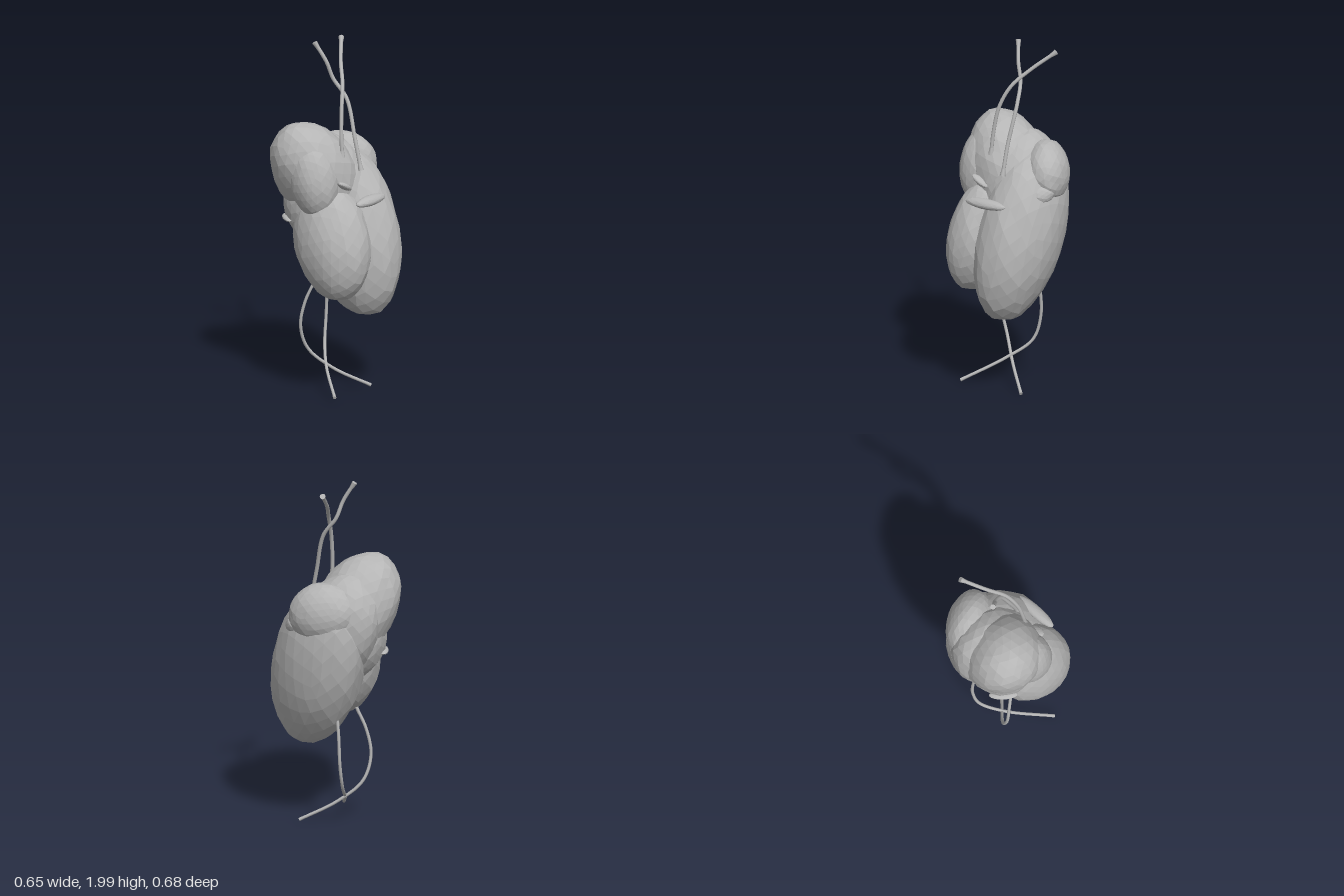
import * as THREE from 'three';

const tissue = new THREE.MeshStandardMaterial({ color: 0xb5b5b5, flatShading: true });
tissue.name = 'pale grey';
const cord = new THREE.MeshStandardMaterial({ color: 0xb5b5b5 });
cord.name = 'cord grey';

export function createModel() {
  const group = new THREE.Group();

  // Faceted egg-like lobe with gently uneven surface
  function lobe(name, center, radii, rotation = [0, 0, 0], detail = 4) {
    const geo = new THREE.IcosahedronGeometry(1, detail);
    const p = geo.attributes.position;
    const v = new THREE.Vector3();
    for (let i = 0; i < p.count; i++) {
      v.fromBufferAttribute(p, i);
      const bump = 1 + 0.012 * Math.sin(v.x * 7 + v.y * 5) * Math.cos(v.z * 6 - v.y * 4)
        + 0.008 * Math.sin(v.x * 19 + v.z * 23 + v.y * 17);
      v.multiplyScalar(bump);
      p.setXYZ(i, v.x * radii[0], v.y * radii[1], v.z * radii[2]);
    }
    geo.computeVertexNormals();
    const mesh = new THREE.Mesh(geo, tissue);
    mesh.name = name;
    mesh.position.set(...center);
    mesh.rotation.set(...rotation);
    group.add(mesh);
  }

  // Lower chambers, leaning back towards the top
  lobe('leftVentricle', [0.092, 0.925, 0.027], [0.224, 0.507, 0.283], [-0.36, 0, -0.08]);
  lobe('rightVentricle', [-0.133, 0.9, 0.058], [0.182, 0.34, 0.228], [-0.35, 0, -0.13]);

  // Upper chambers and the walls joining them
  lobe('rightAtrium', [-0.07, 1.25, -0.1], [0.215, 0.33, 0.23], [-0.28, 0, 0.48]);
  lobe('rightAtriumSide', [-0.19, 1.25, -0.025], [0.13, 0.22, 0.14], [-0.2, 0, 0]);
  lobe('leftAtrium', [0.183, 1.268, -0.1], [0.125, 0.172, 0.195], [0.25, 0.5, 0]);
  lobe('atrialAppendage', [0.213, 1.19, 0.03], [0.092, 0.07, 0.1], [0.3, 0, 0], 3);
  lobe('trunk', [0.03, 1.15, -0.08], [0.2, 0.33, 0.24], [-0.4, 0, 0]);
  lobe('posteriorWall', [-0.05, 1.07, -0.08], [0.2, 0.25, 0.205], [-0.37, 0, 0]);

  // Thin folds: front crescent and small slits on the back and side
  lobe('frontFold', [-0.01, 1.135, 0.235], [0.13, 0.027, 0.035], [0.3, 0, 0], 3);
  lobe('backFold', [-0.18, 1.0, -0.21], [0.08, 0.015, 0.03], [0, 0.8, 0], 2);
  lobe('sideFoldUpper', [0.23, 1.07, -0.2], [0.025, 0.008, 0.015], [0, -0.8, 0], 2);
  lobe('sideFoldLower', [0.23, 0.95, -0.19], [0.03, 0.006, 0.015], [0, -0.8, 0], 2);
  lobe('creaseFold', [-0.11, 1.22, 0.13], [0.06, 0.018, 0.03], [0, 0, -0.5], 2);

  // Slender cords, each with a slightly flared tip
  function slenderCord(name, points, radius, flare) {
    const curve = new THREE.CatmullRomCurve3(points.map(q => new THREE.Vector3(...q)));
    const part = new THREE.Group();
    part.name = name;
    const tube = new THREE.Mesh(new THREE.TubeGeometry(curve, 48, radius, 8), cord);
    tube.name = name + 'Shaft';
    part.add(tube);
    [0, 1].forEach(t => {
      const out = curve.getTangent(t).multiplyScalar(t ? 1 : -1);
      const tip = new THREE.Mesh(
        new THREE.CylinderGeometry(radius * flare, radius, 0.04, 8), cord);
      tip.name = name + 'Tip';
      tip.quaternion.setFromUnitVectors(new THREE.Vector3(0, 1, 0), out);
      tip.position.copy(curve.getPoint(t)).addScaledVector(out, -0.02);
      part.add(tip);
    });
    group.add(part);
  }

  slenderCord('upperCordOuter', [
    [-0.07, 1.37, 0.085], [-0.062, 1.5, 0.072], [-0.035, 1.65, 0.055],
    [0.02, 1.77, 0.02], [0.1, 1.86, -0.05], [0.22, 1.965, -0.135],
  ], 0.011, 1.5);
  slenderCord('upperCordInner', [
    [0.038, 1.28, 0.135], [0.043, 1.45, 0.09], [0.06, 1.67, 0.02],
    [0.035, 1.78, -0.055], [0.005, 1.88, -0.08], [-0.03, 1.99, -0.135],
  ], 0.011, 1.4);
  slenderCord('lowerCordLeft', [
    [0.09, 0.72, -0.11], [0.105, 0.55, -0.145], [0.105, 0.38, -0.155],
    [0.065, 0.24, -0.135], [-0.05, 0.14, -0.04], [-0.23, 0.03, 0.15],
  ], 0.009, 1.1);
  slenderCord('lowerCordRight', [
    [-0.11, 0.65, -0.07], [-0.14, 0.52, -0.12], [-0.148, 0.38, -0.145],
    [-0.1, 0.24, -0.13], [0, 0.12, -0.03], [0.15, 0.012, 0.12],
  ], 0.009, 1.1);

  return group;
}
